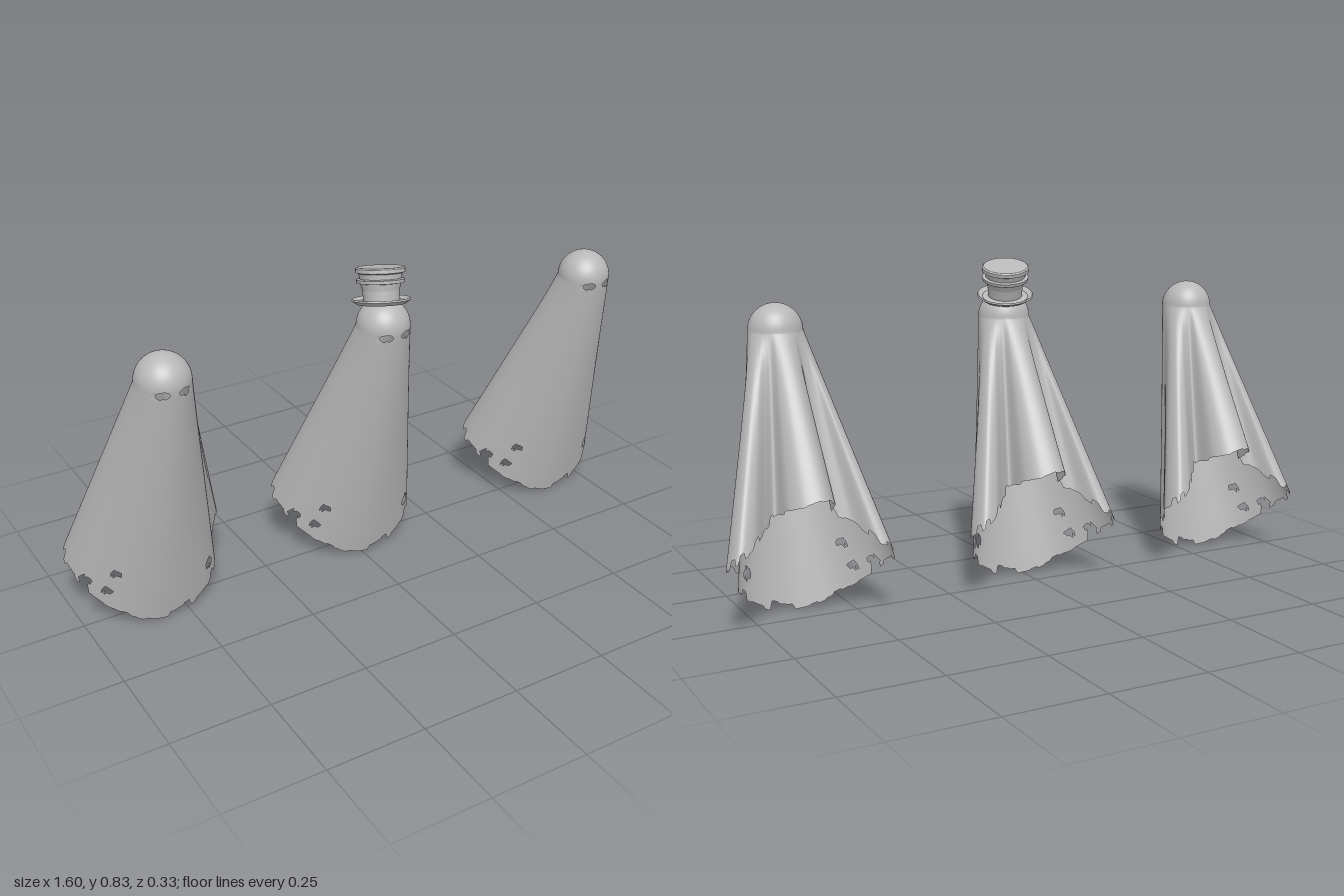
import * as THREE from 'three';

const cloth = new THREE.MeshStandardMaterial({ color: 0xb8b8b8, side: THREE.DoubleSide });
cloth.name = 'pale grey cloth';

const AROUND = 220, CAP = 16, DRAPE = 60;
const HEAD = { r: 0.066, y: 0.965, z: -0.365 };

// Hem control points: x, y, z and the head angle (degrees from the front, towards +x) they hang from
const HEM = [
  [0, 0.283, -0.43, 0], [0.06, 0.295, -0.435, 28], [0.115, 0.325, -0.45, 55], [0.148, 0.365, -0.475, 72],
  [0.158, 0.40, -0.51, 84], [0.19, 0.435, -0.55, 96], [0.21, 0.455, -0.59, 106], [0.195, 0.48, -0.628, 118],
  [0.155, 0.50, -0.615, 130], [0.105, 0.53, -0.56, 141], [0.07, 0.55, -0.53, 150], [0.06, 0.575, -0.595, 160],
  [0.03, 0.59, -0.627, 170], [-0.02, 0.60, -0.632, 185], [-0.052, 0.58, -0.60, 198], [-0.065, 0.545, -0.54, 209],
  [-0.11, 0.52, -0.55, 220], [-0.155, 0.48, -0.61, 232], [-0.185, 0.46, -0.618, 243], [-0.203, 0.43, -0.59, 254],
  [-0.195, 0.395, -0.54, 268], [-0.16, 0.355, -0.49, 287], [-0.11, 0.318, -0.452, 308], [-0.055, 0.292, -0.435, 333],
];

// Eye holes and worn holes on the front: x, y, half width, half height
const HOLES = [
  [-0.026, 0.955, 0.015, 0.009], [0.026, 0.955, 0.015, 0.009],
  [-0.122, 0.445, 0.010, 0.008], [-0.178, 0.41, 0.011, 0.011], [-0.142, 0.39, 0.009, 0.010],
  [0.115, 0.40, 0.011, 0.012],
];

function makeRandom(seed) {
  return () => {
    seed = (seed * 16807) % 2147483647;
    return seed / 2147483647;
  };
}

function holeDistance(hole, x, y) {
  return Math.hypot((x - hole[0]) / hole[2], (y - hole[1]) / hole[3]);
}

// Hooded sheet: a round head that runs into a swept-back, folded drape with a torn hem
function makeSheet() {
  const random = makeRandom(77);
  const hemCurve = new THREE.CatmullRomCurve3(HEM.map(p => new THREE.Vector3(p[0], p[1], p[2])), true, 'centripetal');
  const rows = CAP + DRAPE;
  const positions = [], index = [];

  // Torn hem: short nicks everywhere, a deeper cut now and then
  const tear = [];
  let nick = 0;
  for (let i = 0; i < AROUND; i++) {
    if (i % 3 === 0) nick = random() < 0.2 ? 0.025 + 0.015 * random() : 0.016 * random();
    tear.push(1 - nick);
  }

  for (let j = 0; j <= rows; j++) {
    for (let i = 0; i < AROUND; i++) {
      const f = (i / AROUND) * HEM.length, k = Math.floor(f);
      const a0 = HEM[k][3], a1 = k + 1 < HEM.length ? HEM[k + 1][3] : 360;
      const angle = THREE.MathUtils.degToRad(a0 + (a1 - a0) * (f - k));
      const sx = Math.sin(angle), cz = Math.cos(angle);
      let x, y, z;
      if (j <= CAP) {
        const phi = Math.max(0.01, (j / CAP) * Math.PI / 2);
        const r = HEAD.r * Math.sin(phi);
        x = sx * r; y = HEAD.y + HEAD.r * Math.cos(phi); z = HEAD.z + cz * r;
      } else {
        const t = Math.pow((j - CAP) / DRAPE, 1.25) * tear[i];
        const s = Math.pow(t, 1 + 0.15 * Math.max(0, cz));
        const hem = hemCurve.getPoint(i / AROUND);
        x = THREE.MathUtils.lerp(sx * HEAD.r, hem.x, s);
        y = THREE.MathUtils.lerp(HEAD.y, hem.y, t);
        z = THREE.MathUtils.lerp(HEAD.z + cz * HEAD.r, hem.z, s);
      }
      // Pull nearby points onto the rim of a hole
      if (cz > -0.15) {
        for (const hole of HOLES) {
          const d = holeDistance(hole, x, y);
          if (d > 0.65 && d < 1.3) {
            x = hole[0] + (x - hole[0]) / d;
            y = hole[1] + (y - hole[1]) / d;
          }
        }
      }
      positions.push(x, y, z);
    }
  }

  const isOpen = tri => {
    const mid = n => tri.reduce((sum, v) => sum + positions[v * 3 + n], 0) / 3;
    const x = mid(0), y = mid(1), column = tri[0] % AROUND;
    const front = column < AROUND * 0.25 || column > AROUND * 0.78;
    return front && HOLES.some(hole => holeDistance(hole, x, y) < 0.98);
  };
  for (let j = 0; j < rows; j++) {
    for (let i = 0; i < AROUND; i++) {
      const n = (i + 1) % AROUND;
      const a = j * AROUND + i, b = j * AROUND + n, c = a + AROUND, d = b + AROUND;
      for (const tri of [[a, c, b], [b, c, d]]) if (!isOpen(tri)) index.push(...tri);
    }
  }
  const geometry = new THREE.BufferGeometry();
  geometry.setAttribute('position', new THREE.Float32BufferAttribute(positions, 3));
  geometry.setIndex(index);
  geometry.computeVertexNormals();
  return geometry;
}

function lathe(name, points) {
  // Repeated corners keep the edges of the hat sharp
  const profile = [];
  points.forEach(([r, y], i) => {
    profile.push(new THREE.Vector2(r, y));
    if (i > 0 && i < points.length - 1) profile.push(new THREE.Vector2(r, y + 0.0002));
  });
  const mesh = new THREE.Mesh(new THREE.LatheGeometry(profile, 40), cloth);
  mesh.name = name;
  return mesh;
}

// Small flared top hat, tipped backwards
function makeHat() {
  const hat = new THREE.Group();
  hat.name = 'hat';
  hat.add(
    lathe('hatBrim', [[0.036, -0.002], [0.06, -0.003], [0.072, 0.006], [0.070, 0.010], [0.058, 0.003], [0.036, 0.006]]),
    lathe('hatCrown', [[0.043, 0.0], [0.045, 0.03], [0.051, 0.052]]),
    lathe('hatBand', [[0.046, 0.046], [0.058, 0.048], [0.059, 0.056], [0.050, 0.058]]),
    lathe('hatTop', [[0.050, 0.054], [0.053, 0.070], [0.060, 0.073], [0.060, 0.082], [0.056, 0.085], [0, 0.085]]),
  );
  hat.position.set(0.004, 1.016, -0.38);
  hat.rotation.set(-0.26, 0, -0.12);
  return hat;
}

export function createModel() {
  const model = new THREE.Group();
  model.name = 'ghosts';
  const sheet = makeSheet();
  [['rightGhost', -0.803], ['middleGhost', -0.228], ['leftGhost', 0.388]].forEach(([name, x]) => {
    const ghost = new THREE.Group();
    ghost.name = name;
    const body = new THREE.Mesh(sheet, cloth);
    body.name = 'sheet';
    ghost.add(body);
    if (name === 'middleGhost') ghost.add(makeHat());
    ghost.position.x = x;
    model.add(ghost);
  });
  return model;
}
